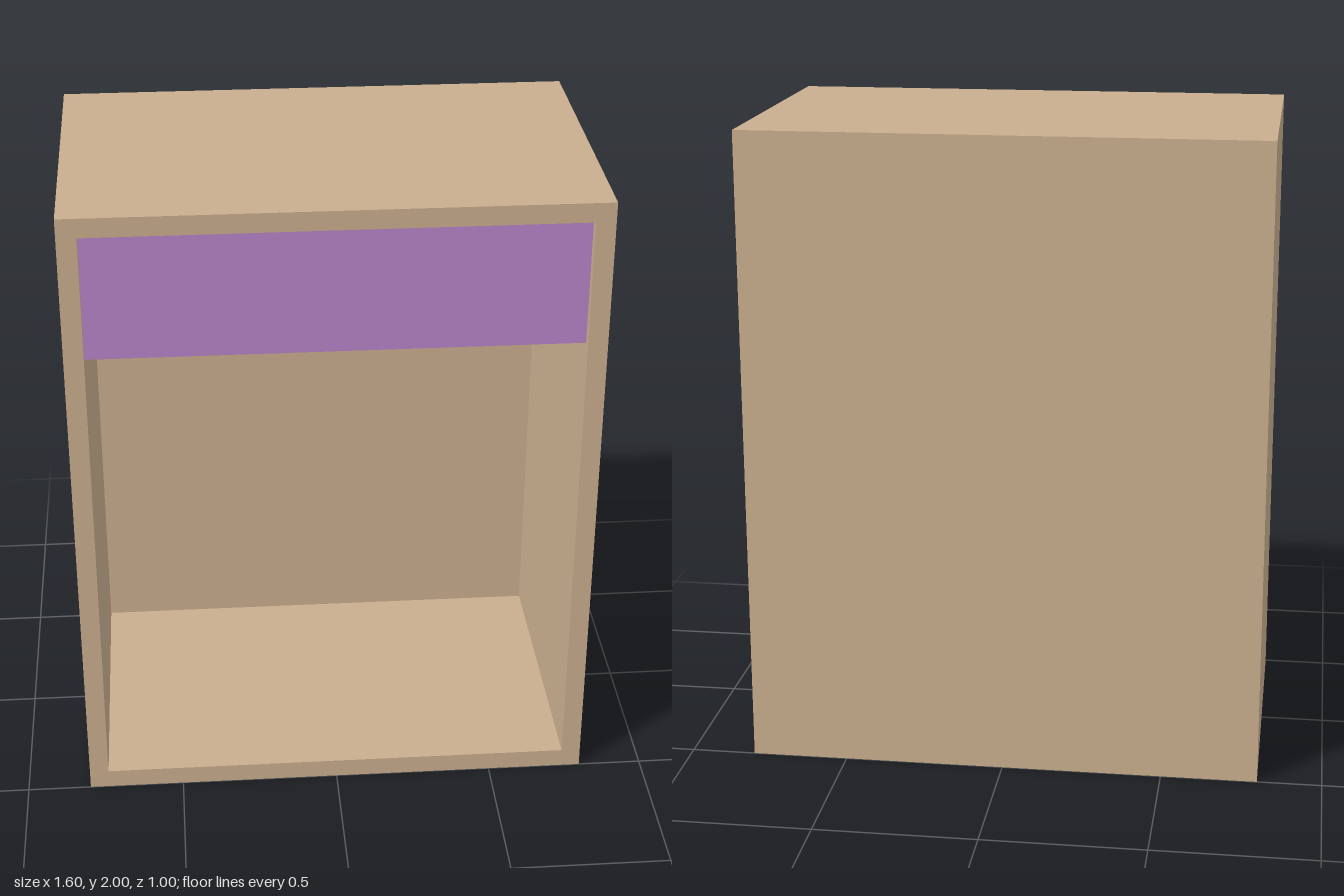
import * as THREE from 'three';

const W = 1.6, H = 2, D = 1;       // outer size
const T = 0.06;                    // wall thickness
const BACK = 0.08;                 // back panel thickness

function rect(path, x, y0, y1) {
  path.moveTo(-x, y0);
  path.lineTo(x, y0);
  path.lineTo(x, y1);
  path.lineTo(-x, y1);
  path.closePath();
  return path;
}

export function createModel() {
  const wood = new THREE.MeshStandardMaterial({ color: 0xc9ae8e });
  wood.name = 'wood';
  const purple = new THREE.MeshStandardMaterial({ color: 0xb784c9 });
  purple.name = 'purple';

  const group = new THREE.Group();
  group.name = 'cabinet';
  const add = (name, geometry, material, x, y, z) => {
    const mesh = new THREE.Mesh(geometry, material);
    mesh.name = name;
    mesh.position.set(x, y, z);
    group.add(mesh);
  };

  // Sides, top and bottom as one open frame
  const outline = rect(new THREE.Shape(), W / 2, 0, H);
  outline.holes.push(rect(new THREE.Path(), W / 2 - T, T, H - T));
  const frame = new THREE.ExtrudeGeometry(outline, { depth: D - BACK, bevelEnabled: false });
  add('carcass', frame, wood, 0, 0, -D / 2 + BACK);

  // Closed back
  add('backPanel', new THREE.BoxGeometry(W, H, BACK), wood, 0, H / 2, -D / 2 + BACK / 2);

  // Drawer front, set slightly back inside the opening
  const drawerHeight = 0.4, drawerDepth = 0.06, recess = 0.03;
  add('drawerFront', new THREE.BoxGeometry(W - 2 * T, drawerHeight, drawerDepth), purple,
    0, H - T - drawerHeight / 2, D / 2 - recess - drawerDepth / 2);

  return group;
}
